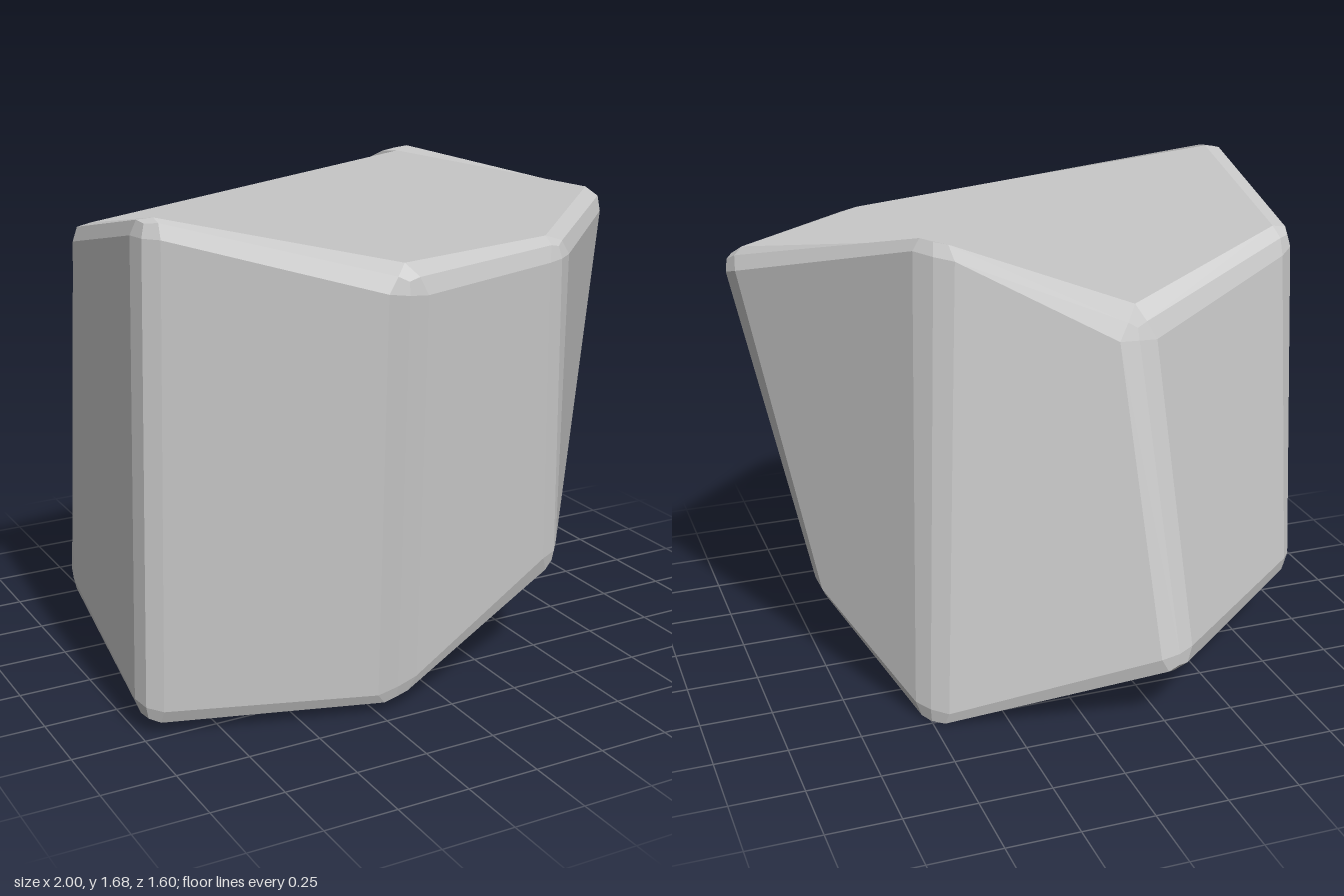
import * as THREE from 'three';

// Corner rings, clockwise seen from above, starting at the left rear
const TOP = [
  [-0.92, 1.585, -0.26], [-0.22, 1.39, -0.53], [0.435, 1.762, -0.43], [1.035, 1.585, 0.1],
  [0.45, 1.56, 0.66], [-0.22, 1.537, 0.82], [-0.965, 1.752, 0.48],
];
const BOTTOM = [
  [-0.975, 0.275, -0.28], [-0.29, 0.255, -0.835], [0.51, -0.015, -0.508], [0.742, 0.285, 0.105],
  [0.475, 0.408, 0.66], [-0.2, 0.04, 0.725], [-1.015, 0.06, 0.495],
];
const BEVEL = 0.07;

function bevelledStone() {
  const n = TOP.length;
  const corners = [...TOP, ...BOTTOM].map((p) => new THREE.Vector3(...p));

  // Faces as corner loops, each with its triangulation
  const faces = [
    { loop: [6, 5, 4, 3, 2, 1, 0], tris: [[4, 5, 6], [1, 4, 6], [0, 1, 6], [1, 2, 4], [2, 3, 4]] },
    { loop: [7, 8, 9, 10, 11, 12, 13], tris: [[0, 1, 2], [0, 2, 6], [2, 5, 6], [2, 4, 5], [2, 3, 4]] },
  ];
  for (let i = 0; i < n; i++) {
    const j = (i + 1) % n;
    const tris = i === 1 ? [[0, 1, 2], [0, 2, 3]] : [[0, 1, 3], [1, 2, 3]];
    faces.push({ loop: [j, n + j, n + i, i], tris });
  }

  const positions = [], normals = [];
  // One polygon with a single averaged normal
  function addPolygon(points, tris = [[0, 1, 2], [0, 2, 3]]) {
    const normal = new THREE.Vector3();
    points.forEach((p, i) => normal.add(p.clone().cross(points[(i + 1) % points.length])));
    normal.normalize();
    for (const i of tris.flat()) {
      positions.push(...points[i].toArray());
      normals.push(...normal.toArray());
    }
  }

  // Inset every face corner by the bevel width
  const byEdge = {}, byCorner = {};
  const direction = (a, b) => corners[b].clone().sub(corners[a]).normalize();
  for (const face of faces) {
    const { loop } = face;
    face.inset = loop.map((v, k) => {
      const prev = loop.at(k - 1), next = loop[(k + 1) % loop.length];
      const a = direction(v, prev), b = direction(v, next);
      const point = corners[v].clone().addScaledVector(a.clone().add(b), BEVEL / Math.sin(a.angleTo(b)));
      (byEdge[`${v},${prev}`] ??= []).push(point);
      (byEdge[`${v},${next}`] ??= []).push(point);
      (byCorner[v] ??= []).push(point);
      return point;
    });
  }

  // Crest of a rounded edge near corner v
  function crest(v, w) {
    const [a, b] = byEdge[`${v},${w}`];
    const middle = a.clone().add(b).multiplyScalar(0.5);
    const along = direction(v, w);
    const reach = middle.clone().sub(corners[v]).dot(along);
    return corners[v].clone().addScaledVector(along, reach).lerp(middle, 0.55);
  }
  // Tip of a rounded corner
  function tip(v) {
    const middle = new THREE.Vector3();
    byCorner[v].forEach((p) => middle.addScaledVector(p, 1 / byCorner[v].length));
    return corners[v].clone().lerp(middle, 0.63);
  }

  for (const { loop, tris, inset } of faces) {
    addPolygon(inset, tris);
    loop.forEach((v, k) => {
      const m = (k + 1) % loop.length;
      const prev = loop.at(k - 1), next = loop[m];
      addPolygon([inset[m], inset[k], crest(v, next), crest(next, v)]);
      addPolygon([inset[k], crest(v, prev), tip(v), crest(v, next)]);
    });
  }

  const geometry = new THREE.BufferGeometry();
  geometry.setAttribute('position', new THREE.Float32BufferAttribute(positions, 3));
  geometry.setAttribute('normal', new THREE.Float32BufferAttribute(normals, 3));

  // Centre it and stand it on the ground
  geometry.center();
  geometry.translate(0, -geometry.boundingBox.min.y, 0);
  return geometry;
}

export function createModel() {
  const stoneGrey = new THREE.MeshStandardMaterial({ color: 0xc7c7c7 });
  stoneGrey.name = 'stoneGrey';

  const stone = new THREE.Mesh(bevelledStone(), stoneGrey);
  stone.name = 'stoneBlock';

  const group = new THREE.Group();
  group.name = 'rock';
  group.add(stone);
  return group;
}
